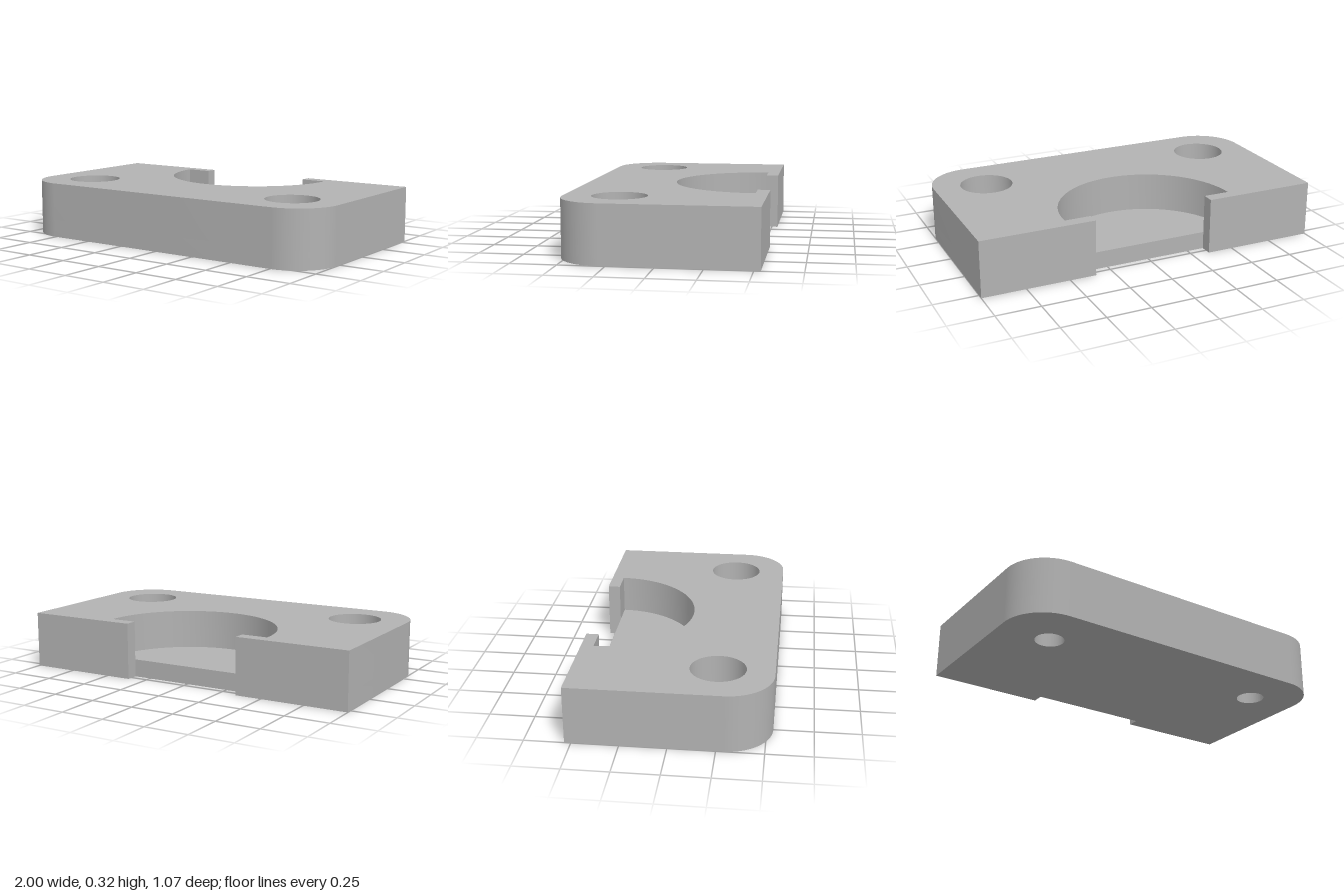
import * as THREE from 'three';
import { toCreasedNormals } from 'three/addons/utils/BufferGeometryUtils.js';

const HEIGHT = 0.32, FLOOR = 0.1;      // total thickness, pocket floor level
const BACK = 0.535, CORNER = 0.25;     // half depth, front corner radius
const NOTCH = 0.35, NOTCH_Y = 0.465;   // notch half width, inner edge
const POCKET = 0.5;                    // half-round pocket radius
const HOLE_X = 0.7, HOLE_Y = -0.235;

// Plan outline (shape y points to the back), with or without the pocket
function outline(withPocket, holeRadius) {
  const s = new THREE.Shape();
  const c = BACK - CORNER;
  s.moveTo(-1, BACK);
  s.lineTo(-1, -c);
  s.absarc(-1 + CORNER, -c, CORNER, Math.PI, 1.5 * Math.PI, false);
  s.absarc(1 - CORNER, -c, CORNER, 1.5 * Math.PI, 2 * Math.PI, false);
  s.lineTo(1, BACK);
  s.lineTo(NOTCH, BACK);
  s.lineTo(NOTCH, NOTCH_Y);
  if (withPocket) {
    s.lineTo(POCKET, NOTCH_Y);
    s.absarc(0, NOTCH_Y, POCKET, 0, Math.PI, true);
  }
  s.lineTo(-NOTCH, NOTCH_Y);
  s.lineTo(-NOTCH, BACK);
  s.closePath();
  for (const side of [-1, 1]) {
    const hole = new THREE.Path();
    hole.absarc(side * HOLE_X, HOLE_Y, holeRadius, 0, 2 * Math.PI, true);
    s.holes.push(hole);
  }
  return s;
}

// Extrude a plan outline upwards from y0 to y1
function slab(name, shape, y0, y1, material) {
  const geo = new THREE.ExtrudeGeometry(shape, { depth: y1 - y0, bevelEnabled: false, curveSegments: 40 });
  geo.rotateX(-Math.PI / 2);
  geo.translate(0, y0, 0);
  const mesh = new THREE.Mesh(toCreasedNormals(geo, 0.5), material);
  mesh.name = name;
  return mesh;
}

export function createModel() {
  const grey = new THREE.MeshStandardMaterial({ color: 0xb2b2b2 });
  grey.name = 'grey';

  const group = new THREE.Group();
  group.name = 'mountingBlock';
  // Lower layer: pocket floor and narrow screw holes
  group.add(slab('basePlate', outline(false, 0.08), 0, FLOOR, grey));
  // Upper layer: half-round pocket and wide counterbores
  group.add(slab('pocketBody', outline(true, 0.15), FLOOR, HEIGHT, grey));
  return group;
}
